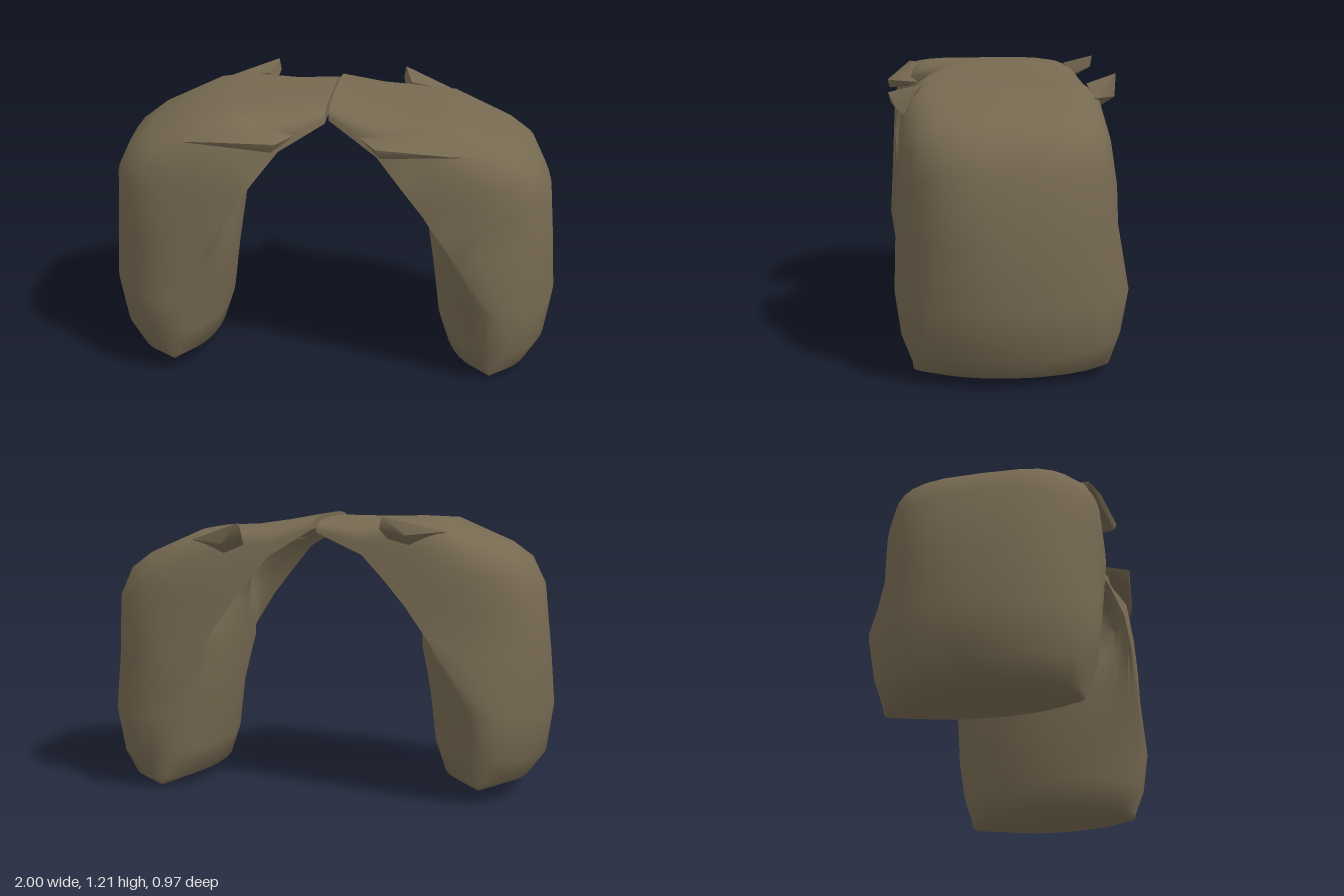
import * as THREE from 'three';
import { toCreasedNormals } from 'three/addons/utils/BufferGeometryUtils.js';
import { ConvexGeometry } from 'three/addons/geometries/ConvexGeometry.js';

// Seam running up the front and back of a bag: x, y, front z, back z
const SEAM = [
  [0.7, 0.05, 0.4, -0.41], [0.7, 0.17, 0.445, -0.45], [0.7, 0.35, 0.47, -0.48],
  [0.53, 0.59, 0.46, -0.455], [0.39, 0.79, 0.45, -0.43], [0.3, 0.91, 0.435, -0.41],
  [0.2, 1.03, 0.38, -0.385], [0, 1.15, 0.27, -0.35],
];

// Middle profile from the strap over the outside and back up the inside:
// x, y, seam point it runs to, squareness of the curve, depth of the hollow behind the flap
const PROFILE = [
  [0, 1.21, 7, 3, 0], [0.2, 1.175, 6, 4, 0], [0.4, 1.145, 6, 6, 0], [0.55, 1.14, 5, 5, 0],
  [0.8, 1.035, 4, 3.8, 0], [0.89, 0.97, 4, 3.6, 0], [0.95, 0.85, 3.5, 3.2, 0],
  [0.98, 0.58, 3, 2.4, 0], [1, 0.33, 2, 2, 0], [0.97, 0.12, 1, 1.9, 0],
  [0.91, 0.04, 0, 2, 0], [0.7, 0.0, 0, 5, 0], [0.52, 0.05, 0, 2, 0],
  [0.48, 0.17, 1, 2, 0], [0.45, 0.4, 2, 1.9, 0], [0.42, 0.6, 3, 1.9, 0],
  [0.41, 0.8, 4, 2, 0.08], [0.39, 0.97, 5, 2, 0.16], [0.28, 1.09, 6, 2, 0.2],
  [0, 1.15, 7, 3, 0],
];

function seamAt(u) {
  const i = Math.min(Math.floor(u), SEAM.length - 2);
  return SEAM[i].map((v, n) => v + (SEAM[i + 1][n] - v) * (u - i));
}

// Puts a point on the given side; the right bag hangs slightly higher
function place(x, y, z, side) {
  const nearCentre = Math.max(0, 1 - Math.abs(x) / 0.4);
  const lift = side < 0 ? 0.045 - 0.06 * nearCentre : 0;
  const gap = 0.008 * nearCentre;
  return new THREE.Vector3(
    side * (x + gap) + nearCentre * (-0.008 - z * 0.06), y + lift, z);
}

// Bag and strap half, lofted from the front seam to the back seam
function bagGeometry(side) {
  const steps = 20, n = PROFILE.length, pos = [], index = [];
  for (let j = 0; j <= steps; j++) {
    const a = Math.PI * (0.5 - j / steps);
    const s = Math.abs(Math.sin(a)), c = Math.max(0, Math.cos(a));
    for (const [px, py, u, power, hollow] of PROFILE) {
      const [sx, sy, zf, zb] = seamAt(u);
      const f = j % steps === 0 ? 0 : Math.pow(c, 2 / power);
      const z = (a > 0 ? zf : zb) * Math.pow(s, 2 / power);
      const x = sx + (px - sx) * f + hollow * 2.6 * s * s * c;
      const p = place(x, sy + (py - sy) * f, z, side);
      pos.push(p.x, p.y, p.z);
    }
  }
  for (let j = 0; j < steps; j++) {
    for (let k = 0; k < n; k++) {
      const a = j * n + k, b = j * n + (k + 1) % n, c = b + n, d = a + n;
      if (side > 0) index.push(a, b, d, b, c, d);
      else index.push(a, d, b, b, d, c);
    }
  }
  const geo = new THREE.BufferGeometry();
  geo.setAttribute('position', new THREE.Float32BufferAttribute(pos, 3));
  geo.setIndex(index);
  return toCreasedNormals(geo, 1);
}

// Folded cloth at the flap corners
const LIP = [
  [0.13, 1.1, 0.34], [0.2, 1.095, 0.48], [0.22, 1.055, 0.47], [0.5, 1.06, 0.45],
  [0.62, 1.05, 0.42], [0.5, 1.13, 0.37], [0.35, 1.145, 0.34], [0.24, 1.06, 0.34],
];
const EAR = [
  [0.3, 1.18, -0.49], [0.29, 1.13, -0.48], [0.39, 1.09, -0.47], [0.47, 1.09, -0.41],
  [0.33, 1.14, -0.36], [0.55, 1.1, -0.36], [0.4, 1.04, -0.39], [0.31, 1.08, -0.38],
];

function foldGeometry(points, side) {
  return toCreasedNormals(new ConvexGeometry(points.map(p => place(...p, side))), 0.9);
}

export function createModel() {
  const cloth = new THREE.MeshStandardMaterial({ color: 0x766951 });
  cloth.name = 'olive cloth';
  const model = new THREE.Group();
  model.name = 'saddlebags';
  for (const [side, label] of [[1, 'left'], [-1, 'right']]) {
    const half = new THREE.Group();
    half.name = label + 'Saddlebag';
    const add = (geo, name) => {
      const mesh = new THREE.Mesh(geo, cloth);
      mesh.name = name;
      half.add(mesh);
    };
    add(bagGeometry(side), label + 'BagAndStrap');
    add(foldGeometry(LIP, side), label + 'FrontFlapFold');
    add(foldGeometry(EAR, side), label + 'BackFlapFold');
    model.add(half);
  }
  return model;
}
